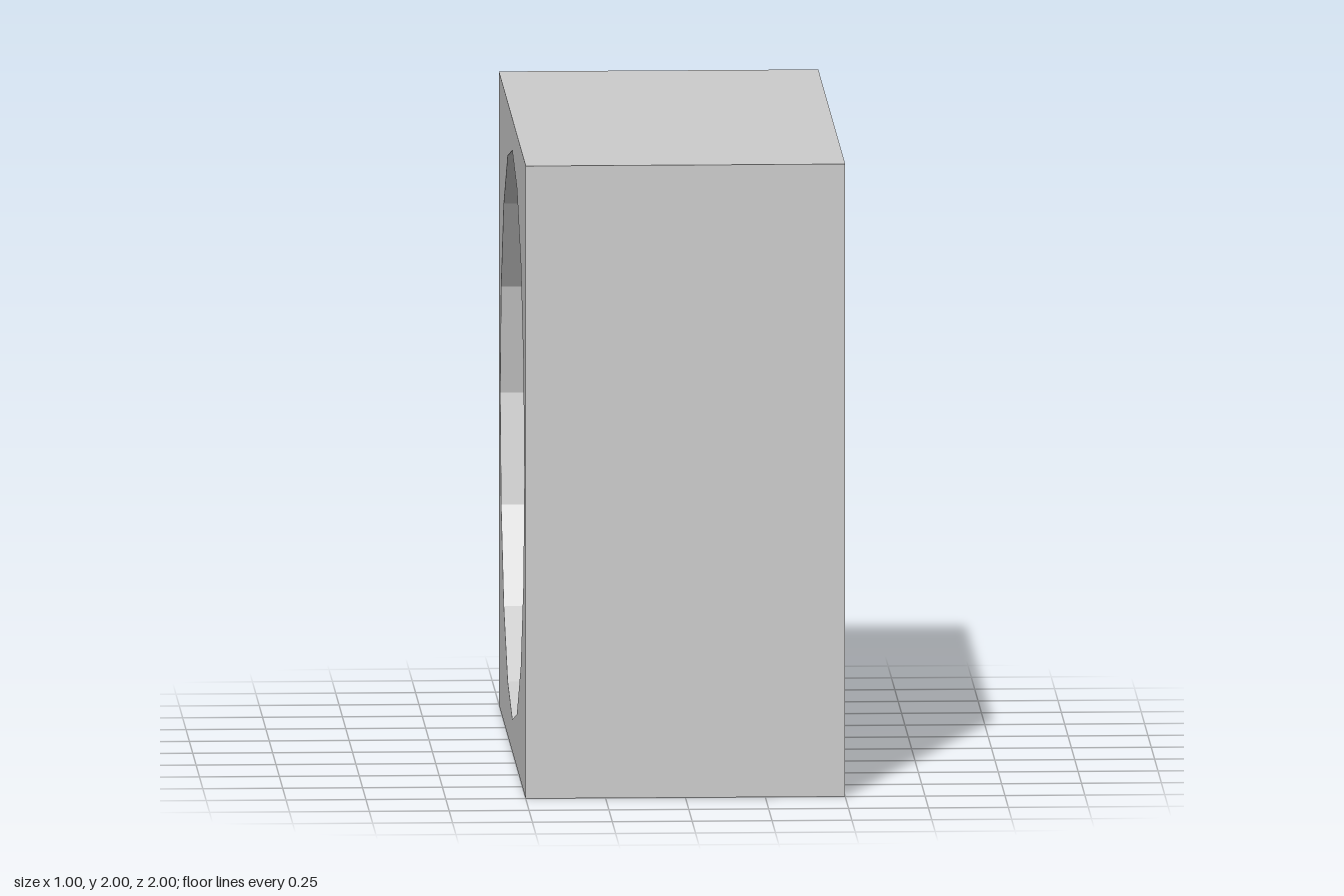
import * as THREE from 'three';

const RADIUS = 0.9, SIDES = 16;

export function createModel() {
  const group = new THREE.Group();
  const grey = new THREE.MeshStandardMaterial({ color: 0xcccccc, flatShading: true });
  const thin = new THREE.MeshStandardMaterial({ color: 0xcccccc, flatShading: true, side: THREE.DoubleSide });

  const add = (name, geometry, material) => {
    const mesh = new THREE.Mesh(geometry, material);
    mesh.name = name;
    mesh.position.y = 1;
    group.add(mesh);
  };

  // Square block with a 16-sided opening running along x
  const square = new THREE.Shape([[-1, -1], [1, -1], [1, 1], [-1, 1]].map(p => new THREE.Vector2(...p)));
  const rim = Array.from({ length: SIDES }, (_, i) => {
    const a = -i / SIDES * Math.PI * 2;
    return new THREE.Vector2(RADIUS * Math.cos(a), RADIUS * Math.sin(a));
  });
  square.holes.push(new THREE.Path(rim));
  const block = new THREE.ExtrudeGeometry(square, { depth: 1, bevelEnabled: false });
  add('block', block.translate(0, 0, -0.5).rotateY(Math.PI / 2), grey);

  // Thin wall halfway through: the floor of the recess on either side
  add('recessFloor', new THREE.CircleGeometry(RADIUS, SIDES).rotateY(Math.PI / 2), thin);

  // Central cube standing out of both recess floors
  add('hub', new THREE.BoxGeometry(0.5, 0.5, 0.5), grey);

  return group;
}
